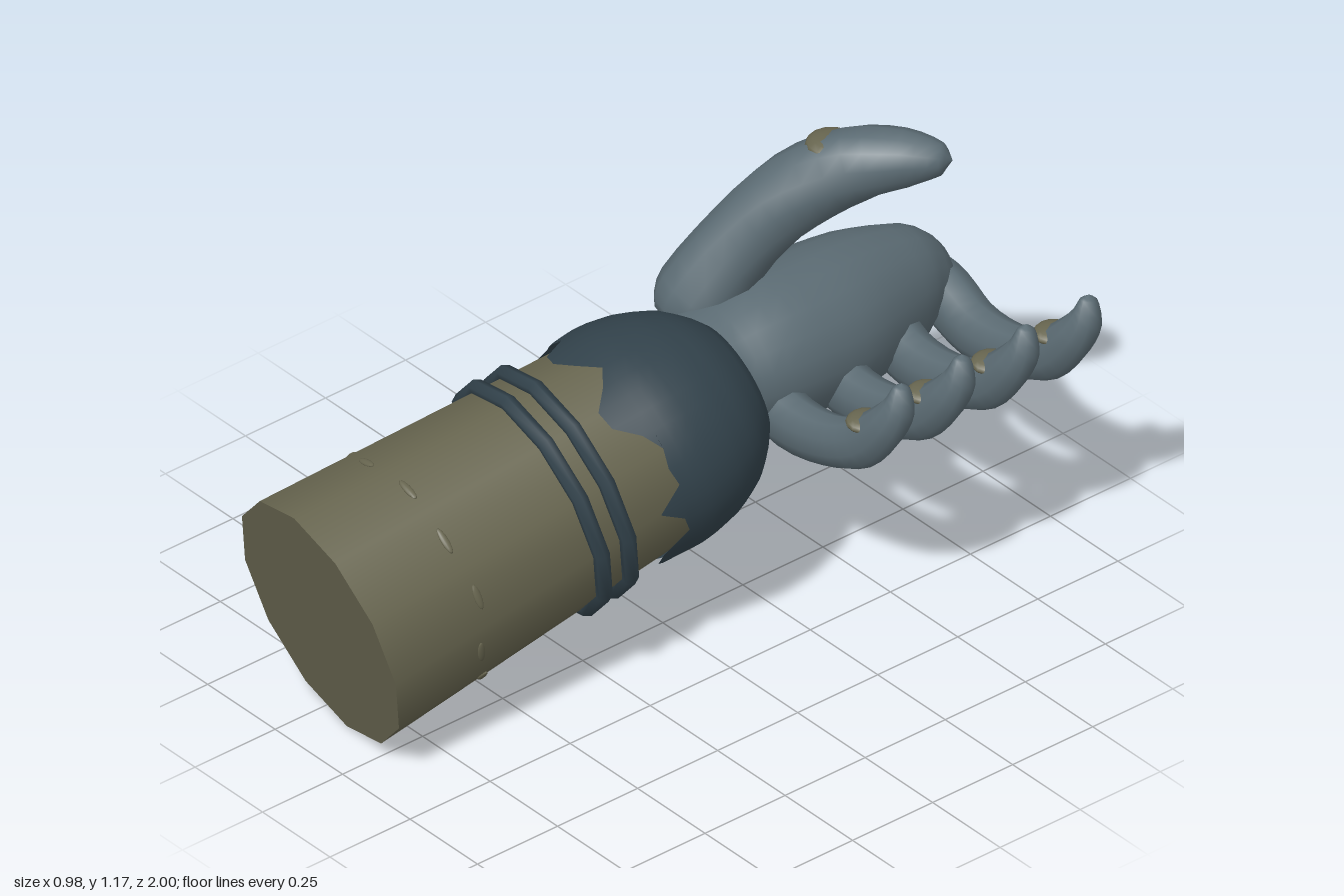
import * as THREE from 'three';

const mat = (name, color, side = THREE.FrontSide) => {
  const m = new THREE.MeshStandardMaterial({ color, side });
  m.name = name;
  return m;
};
const V = (x, y, z) => new THREE.Vector3(x, y, z);

// Smooth closed-section loft; each row is [x, y, z, radiusU, radiusV]
function loft(rows, sides, ref, detail = 3) {
  const path = new THREE.CatmullRomCurve3(rows.map(r => V(r[0], r[1], r[2])));
  const radii = new THREE.CatmullRomCurve3(rows.map(r => V(r[3], r[4] ?? r[3], 0)));
  const steps = (rows.length - 1) * detail;
  const pos = [], idx = [];
  for (let i = 0; i <= steps; i++) {
    const p = path.getPoint(i / steps), r = radii.getPoint(i / steps);
    const t = path.getTangent(i / steps);
    const u = t.clone().cross(ref).normalize(), v = t.clone().cross(u);
    for (let j = 0; j < sides; j++) {
      const a = (j / sides) * Math.PI * 2;
      const q = p.clone()
        .addScaledVector(u, Math.cos(a) * Math.max(r.x, 0))
        .addScaledVector(v, Math.sin(a) * Math.max(r.y, 0));
      pos.push(q.x, q.y, q.z);
      if (i < steps) {
        const k = i * sides, n = (j + 1) % sides;
        idx.push(k + j, k + n, k + sides + j, k + n, k + sides + n, k + sides + j);
      }
    }
  }
  const g = new THREE.BufferGeometry();
  g.setAttribute('position', new THREE.Float32BufferAttribute(pos, 3));
  g.setIndex(idx);
  g.computeVertexNormals();
  return g;
}

export function createModel() {
  const model = new THREE.Group();
  model.name = 'armAndHand';
  const skin = mat('slateSkin', 0x5b6b73);
  const cloth = mat('olive', 0x67654f);
  const dark = mat('darkSlate', 0x32424b, THREE.DoubleSide);
  const Y = V(0, 1, 0), Z = V(0, 0, 1);

  const add = (parent, name, geo, material) => {
    const m = new THREE.Mesh(geo, material);
    m.name = name;
    parent.add(m);
    return m;
  };
  const pad = (parent, name, c, s) => {
    const m = add(parent, name, new THREE.SphereGeometry(1, 14, 8), cloth);
    m.position.set(...c);
    m.scale.set(...s);
    return m;
  };

  // Forearm group: local y runs from the cut end towards the wrist
  const arm = new THREE.Group();
  arm.name = 'forearm';
  arm.position.set(-0.165, 0.325, 0.93);
  arm.quaternion.setFromUnitVectors(Y, V(0.115, 0.215, -0.97).normalize());
  model.add(arm);

  const turn = THREE.MathUtils.degToRad(22);
  add(arm, 'sleeve', new THREE.CylinderGeometry(0.275, 0.33, 0.95, 12, 1, false, turn), cloth)
    .position.y = 0.475;

  // Two bands round the sleeve
  [[0.62, 0.3], [0.7, 0.296]].forEach(([y, r]) => {
    const band = add(arm, 'band', new THREE.TorusGeometry(r, 0.022, 6, 12), dark);
    band.rotation.set(Math.PI / 2, 0, THREE.MathUtils.degToRad(8));
    band.position.y = y;
  });

  // Slim raised stitches
  for (let i = 0; i < 12; i++) {
    const a = turn + ((i + 0.5) / 12) * Math.PI * 2, r = 0.306;
    pad(arm, 'stitch', [Math.sin(a) * r, 0.27 + 0.015 * Math.sin(i * 2.3), Math.cos(a) * r],
      [0.035, 0.01, 0.006]).rotation.y = a;
  }

  // Rounded wrist cuff with a torn rim
  const sides = 36;
  const cuff = loft([
    [0, 0.84, 0, 0.298, 0.284], [0, 0.93, 0, 0.307, 0.284], [0, 1.03, 0, 0.29, 0.268],
    [0, 1.12, 0, 0.247, 0.23], [0, 1.2, 0, 0.165, 0.155], [0, 1.24, 0, 0, 0],
  ], sides, Z);
  const tear = [0.02, 0.03, -0.04, -0.05, -0.02, 0.025, -0.01, -0.06, -0.055, 0, 0.03];
  const cp = cuff.attributes.position;
  for (let j = 0; j < sides; j++) cp.setY(j, cp.getY(j) + tear[j % tear.length]);
  add(arm, 'wristCuff', cuff, dark);

  // Palm
  const hand = new THREE.Group();
  hand.name = 'hand';
  model.add(hand);
  add(hand, 'palm', loft([
    [-0.1, 0.57, -0.1, 0, 0], [-0.1, 0.57, -0.15, 0.15, 0.15], [-0.11, 0.57, -0.26, 0.18, 0.17],
    [-0.1, 0.575, -0.4, 0.2, 0.19], [-0.1, 0.57, -0.55, 0.2, 0.195],
    [-0.11, 0.565, -0.7, 0.175, 0.185], [-0.11, 0.56, -0.85, 0.13, 0.15],
    [-0.1, 0.55, -0.94, 0.075, 0.09], [-0.1, 0.55, -0.985, 0, 0],
  ], 20, Y), skin);

  // Four curled fingers, each with a pad on the inner joint
  ['littleFinger', 'ringFinger', 'middleFinger', 'indexFinger'].forEach((name, i) => {
    const z = [-0.33, -0.52, -0.72, -0.915][i];
    const finger = new THREE.Group();
    finger.name = name;
    finger.position.z = z;
    hand.add(finger);
    add(finger, 'fingerBody', loft([
      [-0.16, 0.56, -0.01, 0, 0], [-0.13, 0.55, -0.01, 0.07, 0.055], [-0.04, 0.52, -0.01, 0.085, 0.068],
      [0.08, 0.49, 0, 0.08, 0.062], [0.23, 0.51, 0.005, 0.07, 0.052], [0.34, 0.557, 0, 0.066, 0.045],
      [0.415, 0.635, -0.015, 0.055, 0.048], [0.447, 0.7, -0.03, 0.042, 0.04],
      [0.445, 0.75, -0.04, 0.02, 0.022], [0.444, 0.762, -0.042, 0, 0],
    ], 10, Z), skin);
    pad(finger, 'fingerPad', [0.352, 0.622, -0.005], [0.044, 0.018, 0.05]).rotation.z = -0.1;
  });

  // Thumb reaching up and over the palm
  const thumb = new THREE.Group();
  thumb.name = 'thumb';
  hand.add(thumb);
  add(thumb, 'thumbBody', loft([
    [-0.24, 0.62, -0.25, 0], [-0.235, 0.645, -0.265, 0.085], [-0.22, 0.71, -0.3, 0.108],
    [-0.17, 0.86, -0.4, 0.098], [-0.1, 0.98, -0.5, 0.1], [0, 1.065, -0.6, 0.093],
    [0.1, 1.1, -0.68, 0.072], [0.17, 1.11, -0.73, 0.04], [0.19, 1.11, -0.745, 0],
  ], 12, Z), skin);
  pad(thumb, 'lowerThumbPad', [-0.155, 0.965, -0.405], [0.046, 0.018, 0.035]);
  pad(thumb, 'upperThumbPad', [-0.05, 1.108, -0.57], [0.066, 0.027, 0.065]);

  return model;
}
